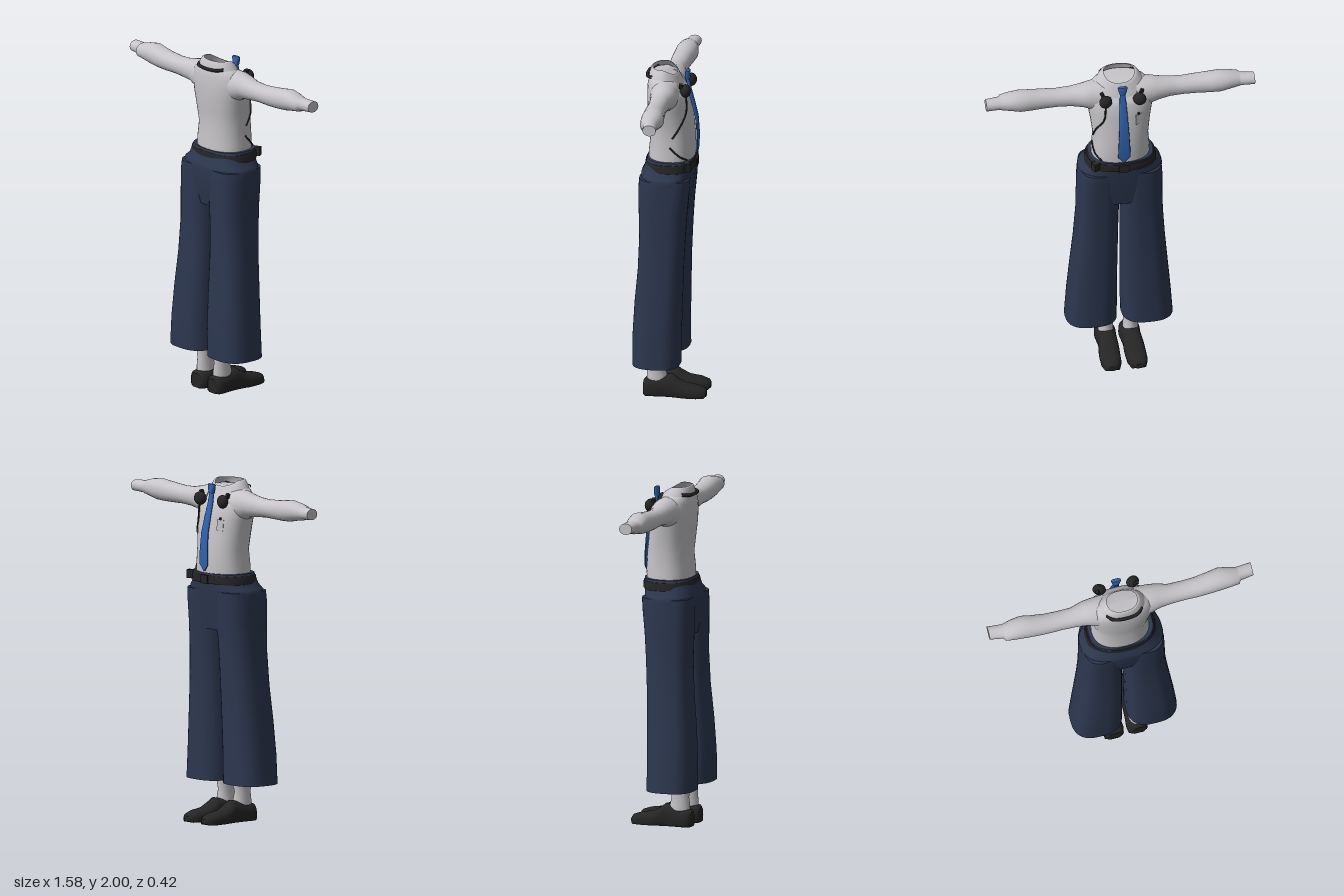
import * as THREE from 'three';

const mat = (name, color, side = THREE.FrontSide) => {
  const m = new THREE.MeshStandardMaterial({ color, side });
  m.name = name;
  return m;
};

// Skin a smooth body through sections [t, aMin, aMax, bMin, bMax], ascending along an axis.
// Axis x uses (a,b) = (y,z); axis y uses (z,x); axis z uses (x,y).
function loft(axis, sections, { power = 2.3, seg = 36, caps = true, rule } = {}) {
  const pos = [], idx = [];
  const put = (t, a, b) => {
    const p = axis === 'x' ? [t, a, b] : axis === 'y' ? [b, t, a] : [a, b, t];
    const v = new THREE.Vector3(...p);
    if (rule) rule(v);
    pos.push(v.x, v.y, v.z);
  };
  const ring = ([t, a0, a1, b0, b1]) => {
    for (let j = 0; j < seg; j++) {
      const w = (j / seg) * Math.PI * 2, c = Math.cos(w), s = Math.sin(w);
      const k = (n) => Math.sign(n) * Math.abs(n) ** (2 / power);
      put(t, (a0 + a1) / 2 + k(c) * (a1 - a0) / 2, (b0 + b1) / 2 + k(s) * (b1 - b0) / 2);
    }
  };
  sections.forEach(ring);
  for (let i = 0; i < sections.length - 1; i++)
    for (let j = 0; j < seg; j++) {
      const a = i * seg + j, b = i * seg + (j + 1) % seg;
      idx.push(a, b, b + seg, a, b + seg, a + seg);
    }
  if (caps) [sections[0], sections.at(-1)].forEach((s, end) => {
    const first = pos.length / 3;
    ring(s);
    put(s[0], (s[1] + s[2]) / 2, (s[3] + s[4]) / 2);
    for (let j = 0; j < seg; j++) {
      const a = first + j, b = first + (j + 1) % seg;
      idx.push(first + seg, ...(end ? [a, b] : [b, a]));
    }
  });
  const g = new THREE.BufferGeometry();
  g.setAttribute('position', new THREE.Float32BufferAttribute(pos, 3));
  g.setIndex(idx);
  g.computeVertexNormals();
  return g;
}

// Reflected copy across x = 0, with corner order restored
function mirror(geo) {
  const g = geo.clone().scale(-1, 1, 1), i = g.index.array;
  for (let k = 0; k < i.length; k += 3) [i[k], i[k + 1]] = [i[k + 1], i[k]];
  g.computeVertexNormals();
  return g;
}

export function createModel() {
  const root = new THREE.Group();
  root.name = 'uniform';
  const shirt = mat('pale shirt', 0xc6c4c8), collarCloth = mat('collar cloth', 0xc6c4c8, THREE.DoubleSide);
  const navy = mat('navy cloth', 0x2c374f), black = mat('black leather', 0x252525);
  const blue = mat('tie blue', 0x2f62ad);

  const add = (name, geo, material) => {
    const m = new THREE.Mesh(geo, material);
    m.name = name;
    root.add(m);
    return m;
  };
  const pair = (name, geo, material) => {
    add(name + 'Left', geo, material);
    add(name + 'Right', mirror(geo), material);
  };
  const tube = (name, points, radius, material) => add(name, new THREE.TubeGeometry(
    new THREE.CatmullRomCurve3(points.map((p) => new THREE.Vector3(...p))), 24, radius, 6), material);

  // Neckline drops toward the chest
  const neckline = (v) => {
    const k = THREE.MathUtils.clamp((v.y - 1.85) / 0.1, 0, 1);
    v.y -= Math.max(0, 0.04 - v.z) * 0.6 * k;
  };
  add('torso', loft('y', [
    [1.43, -0.125, 0.14, -0.172, 0.172], [1.5, -0.13, 0.14, -0.17, 0.17],
    [1.6, -0.126, 0.13, -0.162, 0.162], [1.7, -0.115, 0.14, -0.174, 0.174],
    [1.78, -0.105, 0.147, -0.187, 0.187], [1.85, -0.092, 0.148, -0.2, 0.2],
    [1.91, -0.075, 0.146, -0.187, 0.187], [1.945, -0.055, 0.138, -0.155, 0.155],
    [1.963, -0.04, 0.13, -0.12, 0.12],
  ], { rule: neckline }), shirt);
  add('collar', loft('y', [
    [1.94, -0.06, 0.142, -0.145, 0.145], [1.97, -0.045, 0.138, -0.126, 0.126],
    [1.996, -0.03, 0.13, -0.108, 0.108], [2.0, -0.025, 0.125, -0.098, 0.098],
    [2.001, -0.02, 0.12, -0.09, 0.09],
  ], { caps: false, rule: neckline }), collarCloth);

  // Sleeves, with a narrower cuff end
  pair('sleeve', loft('x', [
    [0.09, 1.75, 1.952, -0.06, 0.125], [0.17, 1.778, 1.95, -0.052, 0.112],
    [0.22, 1.8, 1.938, -0.045, 0.1], [0.29, 1.808, 1.925, -0.025, 0.092],
    [0.37, 1.814, 1.92, -0.024, 0.09], [0.45, 1.812, 1.926, -0.026, 0.092],
    [0.53, 1.812, 1.934, -0.036, 0.09], [0.59, 1.816, 1.942, -0.045, 0.088],
    [0.65, 1.828, 1.932, -0.036, 0.084], [0.7, 1.835, 1.92, -0.024, 0.078],
    [0.71, 1.843, 1.915, -0.024, 0.06], [0.79, 1.847, 1.912, -0.03, 0.048],
  ], { seg: 24, power: 2.1 }), shirt);

  // Wide trousers: hips and two flared legs
  add('hips', loft('y', [
    [1.13, -0.088, 0.155, -0.235, 0.235], [1.25, -0.108, 0.175, -0.244, 0.244],
    [1.35, -0.12, 0.18, -0.246, 0.246], [1.375, -0.122, 0.178, -0.238, 0.238],
    [1.4, -0.126, 0.165, -0.21, 0.21], [1.465, -0.132, 0.146, -0.19, 0.19],
  ], { power: 2.7, seg: 48 }), navy);
  pair('trouserLeg', loft('y', [
    [0.23, -0.07, 0.21, 0.014, 0.315], [0.4, -0.07, 0.21, 0.013, 0.303],
    [0.6, -0.075, 0.2, 0.012, 0.285], [0.8, -0.08, 0.183, 0.01, 0.267],
    [1.0, -0.09, 0.176, 0.008, 0.253], [1.15, -0.1, 0.18, 0.002, 0.25],
    [1.3, -0.115, 0.182, 0.002, 0.247], [1.36, -0.118, 0.178, 0.01, 0.24],
  ], { power: 2.7 }), navy);

  // Belt, buckle and pouch
  add('belt', loft('y', [
    [1.405, -0.136, 0.158, -0.208, 0.208], [1.41, -0.139, 0.16, -0.21, 0.21],
    [1.446, -0.139, 0.156, -0.204, 0.204], [1.452, -0.136, 0.153, -0.2, 0.2],
  ], { power: 2.5, seg: 48 }), black);
  add('buckle', new THREE.BoxGeometry(0.06, 0.05, 0.012), black).position.set(0, 1.428, -0.139);
  const pouch = add('beltPouch', new THREE.BoxGeometry(0.045, 0.05, 0.035), black);
  pouch.position.set(0.16, 1.44, -0.105);
  pouch.rotation.y = 0.5;

  // Ankles and shoes with flat soles
  pair('ankle', loft('y', [
    [0.07, 0.02, 0.145, 0.03, 0.115], [0.12, 0.025, 0.145, 0.028, 0.117],
    [0.17, 0.035, 0.14, 0.034, 0.112], [0.25, 0.02, 0.145, 0.024, 0.12],
  ], { seg: 20, power: 2 }), shirt);
  pair('shoe', loft('z', [
    [-0.207, 0.055, 0.1, 0.005, 0.035], [-0.195, 0.033, 0.122, -0.02, 0.052],
    [-0.15, 0.018, 0.136, -0.03, 0.067], [-0.08, 0.014, 0.137, -0.03, 0.077],
    [-0.03, 0.014, 0.134, -0.03, 0.105], [0, 0.016, 0.128, -0.03, 0.128],
    [0.05, 0.014, 0.128, -0.03, 0.118], [0.12, 0.008, 0.134, -0.03, 0.104],
    [0.15, 0.014, 0.13, -0.03, 0.1], [0.162, 0.035, 0.11, -0.01, 0.085],
  ], { seg: 28, power: 2.5, rule: (v) => { v.y = Math.max(0, v.y); } }), black);

  // Tie blade and knot
  add('tie', loft('y', [
    [1.475, -0.144, -0.136, -0.004, 0.004], [1.515, -0.149, -0.139, -0.037, 0.037],
    [1.6, -0.151, -0.139, -0.034, 0.034], [1.7, -0.145, -0.128, -0.029, 0.029],
    [1.8, -0.122, -0.104, -0.024, 0.024], [1.87, -0.104, -0.085, -0.02, 0.02],
    [1.935, -0.092, -0.072, -0.016, 0.016],
  ], { seg: 16, power: 3 }), blue);
  add('tieKnot', loft('y', [
    [1.925, -0.095, -0.07, -0.015, 0.015], [1.94, -0.1, -0.068, -0.02, 0.02],
    [1.975, -0.098, -0.07, -0.029, 0.029], [1.982, -0.095, -0.075, -0.026, 0.026],
  ], { seg: 16, power: 3 }), blue);

  // Round shoulder microphones with clips
  for (const s of [1, -1]) {
    const pod = add('microphone', new THREE.SphereGeometry(0.039, 20, 14), black);
    pod.scale.z = 0.8;
    pod.position.set(s * 0.1, 1.888, -0.087);
    pod.rotation.y = s * 0.3;
    const clip = add('microphoneClip', new THREE.BoxGeometry(0.018, 0.03, 0.02), black);
    clip.position.set(s * 0.115, 1.92, -0.062);
    clip.rotation.z = -s * 0.4;
  }

  // Cable on one side, and the dark band behind the collar
  tube('upperCable', [[0.1, 1.87, -0.09], [0.11, 1.76, -0.093], [0.153, 1.68, -0.063], [0.164, 1.61, -0.02]], 0.005, black);
  tube('lowerCable', [[0.17, 1.555, -0.005], [0.158, 1.5, -0.06], [0.125, 1.47, -0.1]], 0.005, black);
  tube('collarBand', [[-0.105, 1.96, 0.105], [-0.075, 1.957, 0.138], [0, 1.955, 0.15], [0.075, 1.957, 0.138], [0.105, 1.96, 0.105]], 0.01, black);

  // Chest badge
  const badge = add('badge', new THREE.BoxGeometry(0.04, 0.065, 0.006), shirt);
  badge.position.set(-0.093, 1.75, -0.099);
  badge.rotation.set(0.1, 0.45, 0);
  const clip = add('badgeClip', new THREE.BoxGeometry(0.012, 0.014, 0.008), black);
  clip.position.set(-0.093, 1.787, -0.097);
  clip.rotation.y = 0.45;

  return root;
}
